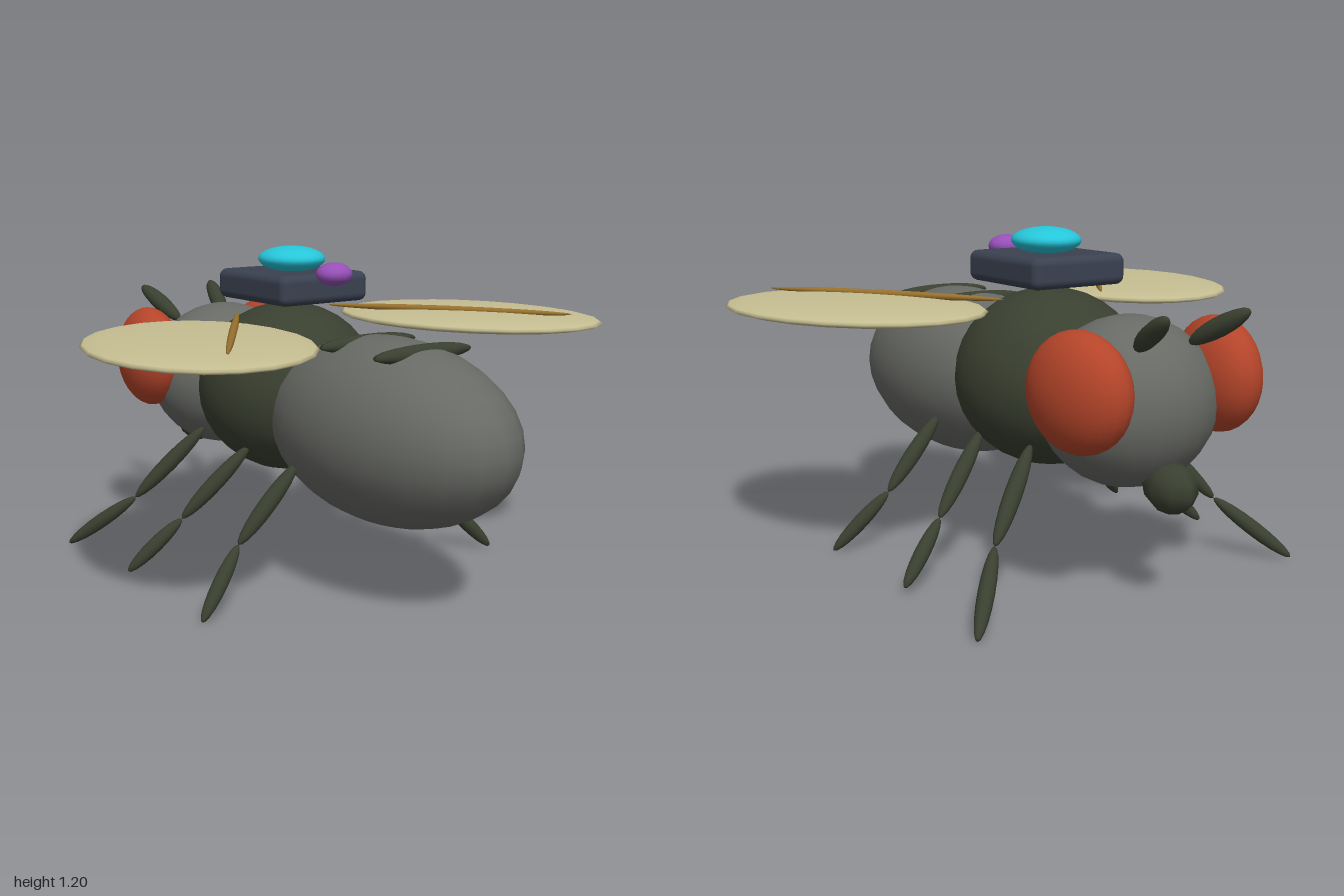
import * as THREE from 'three';
import { RoundedBoxGeometry } from 'three/addons/geometries/RoundedBoxGeometry.js';

const mat = (name, color) => {
  const m = new THREE.MeshStandardMaterial({ color });
  m.name = name;
  return m;
};

export function createModel() {
  const model = new THREE.Group();
  model.name = 'fly';

  const grey = mat('body grey', 0x686a65);
  const green = mat('dark olive', 0x3a4030);
  const red = mat('eye red', 0xb5452a);
  const tan = mat('wing tan', 0xc6be92);
  const brown = mat('vein brown', 0x99722e);
  const slate = mat('pack slate', 0x3a4150);
  const cyan = mat('dome cyan', 0x26c6da);
  const purple = mat('bead purple', 0x9650b8);

  // Ellipsoid from centre and radii
  const ellipsoid = (name, material, centre, radii, w = 22, h = 16) => {
    const mesh = new THREE.Mesh(new THREE.SphereGeometry(1, w, h), material);
    mesh.name = name;
    mesh.position.set(...centre);
    mesh.scale.set(...radii);
    model.add(mesh);
    return mesh;
  };

  // Thin pointed ellipsoid between two points
  const up = new THREE.Vector3(0, 1, 0);
  const spindle = (name, material, from, to, radius) => {
    const a = new THREE.Vector3(...from), b = new THREE.Vector3(...to);
    const d = b.clone().sub(a);
    const mid = a.add(b).multiplyScalar(0.5);
    const mesh = ellipsoid(name, material, mid.toArray(), [radius, d.length() / 2, radius], 10, 10);
    mesh.quaternion.setFromUnitVectors(up, d.normalize());
    return mesh;
  };

  // Body, head towards -x
  ellipsoid('abdomen', grey, [0.43, 0.6, 0], [0.565, 0.325, 0.315]);
  ellipsoid('thorax', green, [-0.17, 0.665, 0], [0.355, 0.32, 0.342]);
  ellipsoid('head', grey, [-0.62, 0.653, 0], [0.285, 0.287, 0.31]);
  ellipsoid('proboscis', green, [-0.84, 0.408, 0], [0.105, 0.085, 0.08], 8, 6).rotation.z = 0.15;

  // Raised bars across the abdomen
  for (const x of [0.313, 0.597]) {
    ellipsoid('abdomenBar', green, [x, 0.89, 0], [0.03, 0.031, 0.22], 10, 10);
  }

  // Leg joints on the +z side: hip, knee, foot
  const legs = {
    frontLeg: [[-0.4, 0.49, 0.24], [-0.54, 0.215, 0.475], [-0.745, 0.01, 0.67]],
    middleLeg: [[-0.085, 0.475, 0.24], [-0.185, 0.215, 0.475], [-0.267, 0.025, 0.66]],
    hindLeg: [[0.22, 0.475, 0.24], [0.195, 0.215, 0.475], [0.268, 0.002, 0.67]],
  };

  // Mirrored pairs
  for (const s of [1, -1]) {
    const side = ([x, y, z]) => [x, y, z * s];

    ellipsoid('eye', red, side([-0.732, 0.732, 0.287]), [0.205, 0.197, 0.12]).rotation.y = -0.16 * s;
    spindle('antenna', green, side([-0.79, 0.86, 0.11]), side([-1, 0.985, 0.168]), 0.034);

    ellipsoid('wing', tan, side([0.17, 0.921, 0.605]), [0.532, 0.037, 0.379], 22, 14).rotation.y = -0.305 * s;
    spindle('wingVein', brown, side([-0.195, 0.957, 0.21]), side([0.575, 0.957, 0.75]), 0.014);

    for (const [name, joints] of Object.entries(legs)) {
      const [hip, knee, foot] = joints.map(side);
      spindle(name + 'Upper', green, hip, knee, 0.031);
      spindle(name + 'Lower', green, knee, foot, 0.028);
    }
  }

  // Hovering pack with dome and bead
  const pack = new THREE.Mesh(new RoundedBoxGeometry(0.435, 0.11, 0.39, 3, 0.03), slate);
  pack.name = 'pack';
  pack.position.set(-0.143, 1.055, 0);
  model.add(pack);
  ellipsoid('packDome', cyan, [-0.145, 1.15, 0], [0.132, 0.048, 0.122]);
  ellipsoid('packBead', purple, [0.115, 1.112, 0], [0.064, 0.042, 0.068], 16, 12);

  return model;
}
